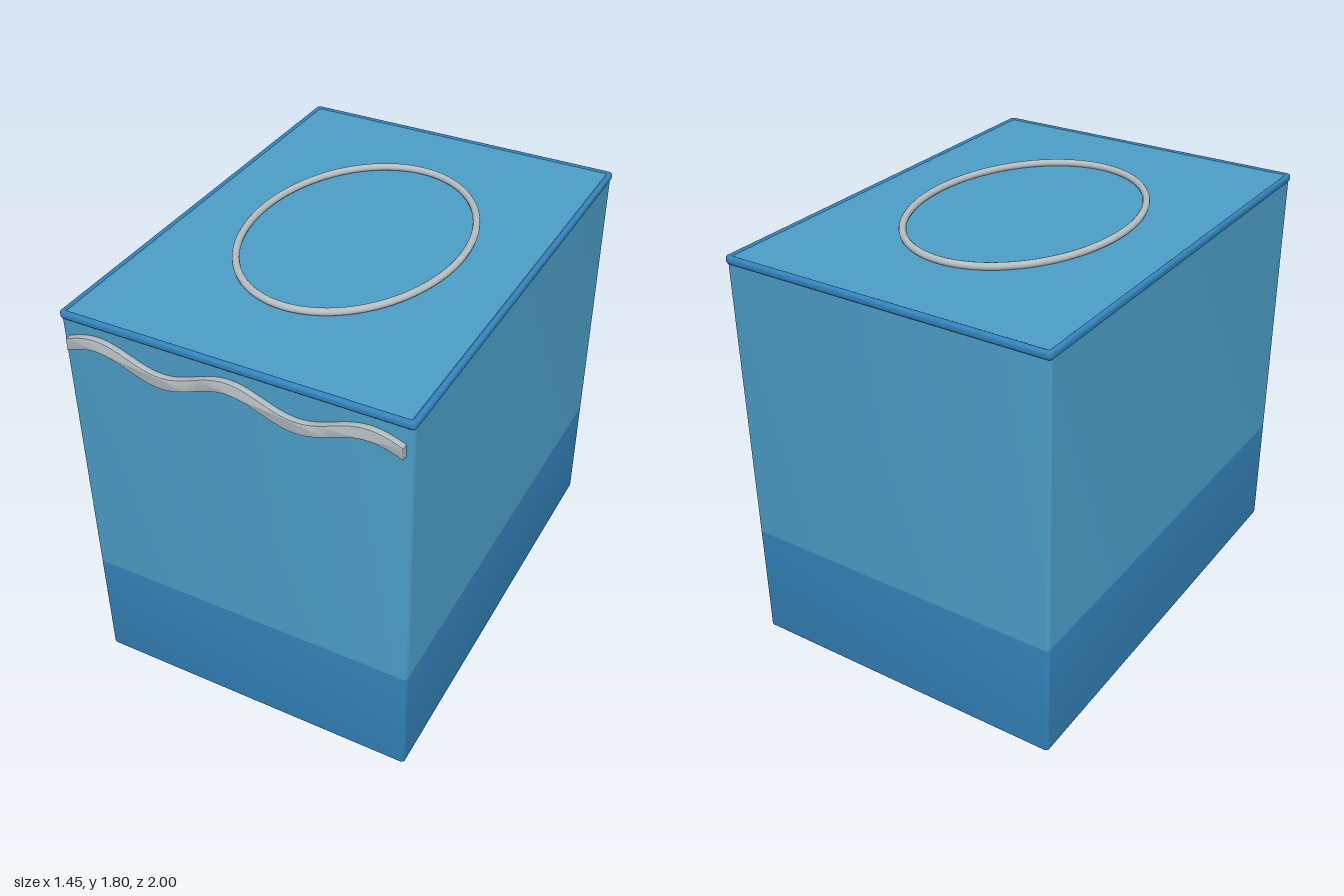
import * as THREE from 'three';
import { toCreasedNormals } from 'three/addons/utils/BufferGeometryUtils.js';

const lightBlue = new THREE.MeshStandardMaterial({ name: 'light blue', color: 0x4b9cc6 });
const deepBlue = new THREE.MeshStandardMaterial({ name: 'deep blue', color: 0x3483bb });
const silver = new THREE.MeshStandardMaterial({ name: 'silver grey', color: 0xb4bdc1 });

const CZ = -0.008; // depth centre of the box

function roundedRect(target, hw, hd, r) {
  target.absarc(hw - r, hd - r, r, 0, Math.PI / 2);
  target.absarc(-hw + r, hd - r, r, Math.PI / 2, Math.PI);
  target.absarc(-hw + r, -hd + r, r, Math.PI, Math.PI * 1.5);
  target.absarc(hw - r, -hd + r, r, Math.PI * 1.5, Math.PI * 2);
  target.closePath();
  return target;
}

// Extrudes a plan shape upward from y0 to y1, bevelled by b at both ends
function upright(shape, y0, y1, b = 0) {
  const geo = new THREE.ExtrudeGeometry(shape, {
    depth: y1 - y0 - 2 * b, curveSegments: 4, bevelEnabled: b > 0,
    bevelThickness: b, bevelSize: b, bevelOffset: -b, bevelSegments: 3,
  });
  return geo.rotateX(-Math.PI / 2).translate(0, y0 + b, CZ);
}

export function createModel() {
  const model = new THREE.Group();
  model.name = 'tissueBox';
  const add = (name, geo, mat) => {
    const mesh = new THREE.Mesh(geo, mat);
    mesh.name = name;
    model.add(mesh);
  };

  // Lower band: soft bottom edge, top bevel flattened into the seam
  const plan = () => roundedRect(new THREE.Shape(), 0.72, 0.981, 0.016);
  const seam = 0.51;
  const lower = upright(plan(), 0, seam + 0.012, 0.012);
  const p = lower.attributes.position;
  for (let i = 0; i < p.count; i++) p.setY(i, Math.min(p.getY(i), seam));
  add('lowerBand', toCreasedNormals(lower, 0.7), deepBlue);

  // Upper walls
  add('upperWalls', toCreasedNormals(upright(plan(), seam, 1.75), 0.7), lightBlue);

  // Lid panel framed by a rounded rim
  const panel = new THREE.BoxGeometry(1.42, 0.03, 1.945);
  add('lidPanel', panel.translate(0, 1.756, CZ), lightBlue);
  const rim = roundedRect(new THREE.Shape(), 0.725, 0.988, 0.018);
  rim.holes.push(roundedRect(new THREE.Path(), 0.701, 0.964, 0.004));
  add('lidRim', toCreasedNormals(upright(rim, 1.742, 1.776, 0.011), 0.7), deepBlue);

  // Oval trim round the opening
  class Oval extends THREE.Curve {
    getPoint(t, out = new THREE.Vector3()) {
      const a = t * Math.PI * 2;
      return out.set(Math.cos(a) * 0.44, 1.785, Math.sin(a) * 0.596 - 0.012);
    }
  }
  add('openingTrim', new THREE.TubeGeometry(new Oval(), 96, 0.015, 12, true), silver);

  // Wavy ribbon across the front
  const wave = new THREE.Shape();
  const steps = 64, half = 0.026;
  const edge = (i, side) => {
    const x = -0.692 + (1.384 * i) / steps;
    return [x, 1.645 + 0.036 * Math.cos((x * Math.PI * 2) / 0.56) + side * half];
  };
  wave.moveTo(...edge(0, -1));
  for (let i = 1; i <= steps; i++) wave.lineTo(...edge(i, -1));
  for (let i = steps; i >= 0; i--) wave.lineTo(...edge(i, 1));
  wave.closePath();
  const ribbon = new THREE.ExtrudeGeometry(wave, {
    depth: 0.021, bevelThickness: 0.004, bevelSize: 0.004, bevelOffset: -0.004, bevelSegments: 2,
  });
  add('waveRibbon', toCreasedNormals(ribbon.translate(0, 0, 0.974), 0.7), silver);

  return model;
}
